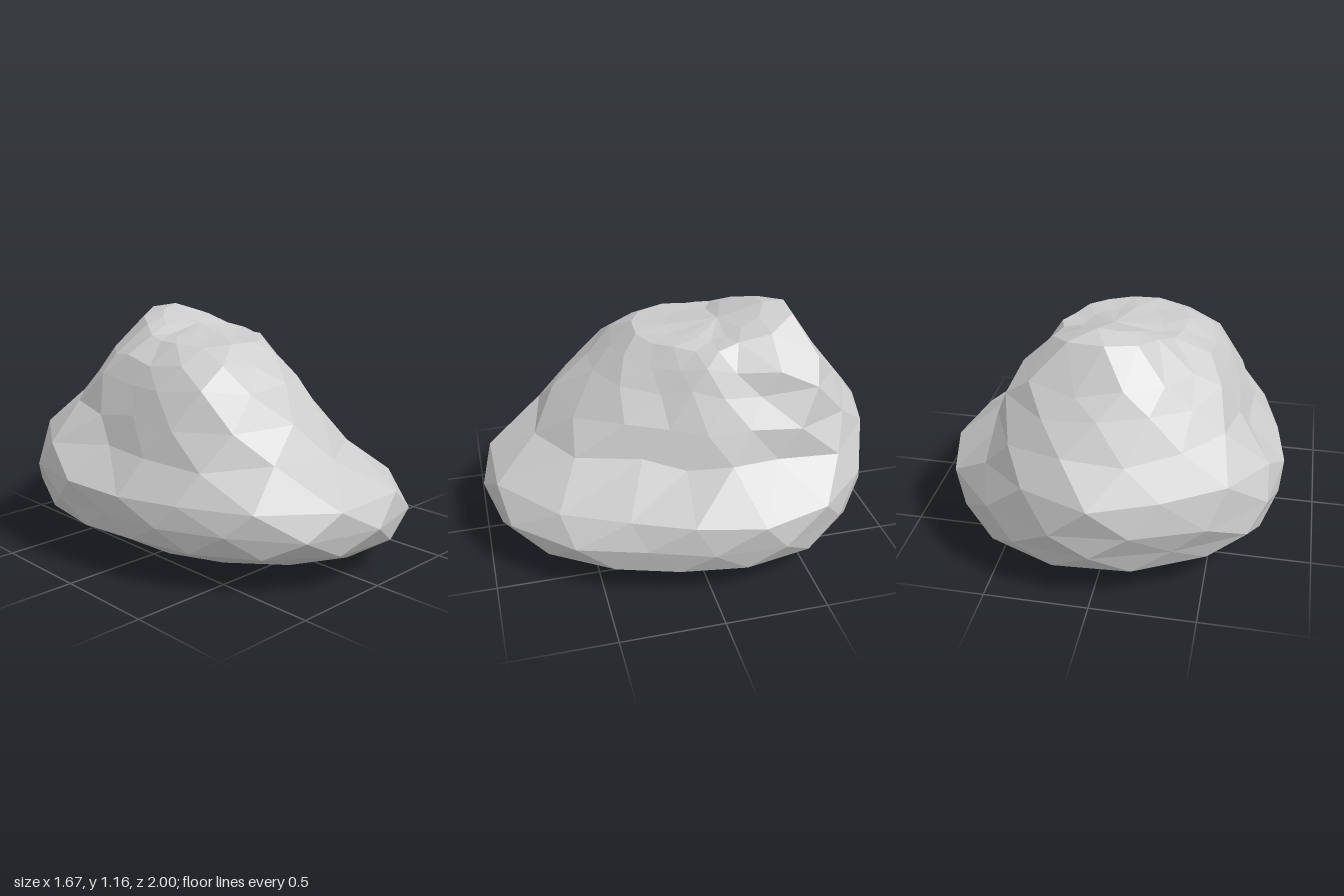
import * as THREE from 'three';

const SIDES = 16;

// Outline radii, running from +x round through +z, -x and -z
const girth = [.82, .79, .88, .97, 1.0, .96, .86, .81, .79, .88, .97, .94, .98, .98, .95, .9];
const ledge = [.81, .75, .8, .97, 1.06, .98, .87, .79, .79, .88, .94, .88, .93, .91, .9, .88];
const foot = [.58, .55, .57, .77, .87, .87, .82, .7, .64, .82, .83, .79, .85, .82, .77, .6];
const waist = [.5, .47, .47, .64, .75, .76, .74, .62, .55, .65, .65, .68, .71, .73, .72, .54];
const shoulder = [.41, .38, .4, .5, .56, .6, .62, .56, .51, .55, .56, .58, .61, .65, .64, .46];
const brow = [.34, .32, .33, .4, .44, .48, .51, .47, .44, .45, .47, .5, .53, .57, .6, .38];
const plateau = [.29, .27, .28, .31, .34, .36, .38, .34, .3, .29, .3, .36, .42, .44, .38, .28];

// Cross-sections from the underside to the top; rise lifts the back of the summit
const rings = [
  { y: .04, radii: girth, scale: .55, cz: 0 },
  { y: .09, radii: girth, scale: .82, cz: 0 },
  { y: .165, radii: girth, scale: .95, cz: 0 },
  { y: .27, radii: girth, cz: 0 },
  { y: .39, radii: ledge, cz: -.07 },
  { y: .55, radii: foot },
  { y: .7, radii: waist },
  { y: .85, radii: shoulder },
  { y: .95, radii: brow },
  { y: 1.03, radii: plateau, rise: .27 },
  { y: 1.04, radii: plateau, scale: .62, cz: -.18, rise: .45 },
];

// Every other ring is turned half a step, so the facets interlock
function ringPoints({ y, radii, scale = 1, cz = -.15, rise = 0 }, i) {
  const shift = i % 2 === 0 ? .5 : 0;
  const wobble = i > 4 && i < 9 ? .018 : .006;
  return radii.map((r, j) => {
    const next = radii[(j + 1) % SIDES];
    const radius = scale * THREE.MathUtils.lerp(r, next, shift) * (shift ? 1.012 : 1);
    const a = (j + shift) / SIDES * Math.PI * 2;
    const x = radius * Math.cos(a);
    const z = cz + radius * Math.sin(a);
    // The underside leans down towards +x
    const lean = -.05 * x * Math.max(0, 1 - y / .5);
    const lift = rise * Math.max(0, -z - .2);
    return [x, y + lean + lift + wobble * Math.sin(j * 2.4 + i * 1.7), z];
  });
}

function rockGeometry() {
  const loops = rings.map(ringPoints);
  const positions = [];
  const tri = (...corners) => corners.forEach(c => positions.push(...c));
  const base = [.28, 0, 0];
  const summit = [.02, 1.08, -.22];
  const last = loops.length - 1;

  for (let j = 0; j < SIDES; j++) {
    const k = (j + 1) % SIDES;
    tri(base, loops[0][j], loops[0][k]);
    for (let i = 0; i < last; i++) {
      const p = loops[i], q = loops[i + 1];
      if (i % 2 === 0) {
        tri(p[j], q[j], q[k]);
        tri(p[k], p[j], q[k]);
      } else {
        tri(p[k], p[j], q[j]);
        tri(p[k], q[j], q[k]);
      }
    }
    tri(loops[last][k], loops[last][j], summit);
  }

  const geometry = new THREE.BufferGeometry();
  geometry.setAttribute('position', new THREE.Float32BufferAttribute(positions, 3));
  geometry.computeVertexNormals();
  return geometry;
}

export function createModel() {
  const group = new THREE.Group();
  group.name = 'boulder';
  const rock = new THREE.Mesh(
    rockGeometry(),
    new THREE.MeshStandardMaterial({ color: 0xcccccc, flatShading: true })
  );
  rock.name = 'rock';
  group.add(rock);
  return group;
}
